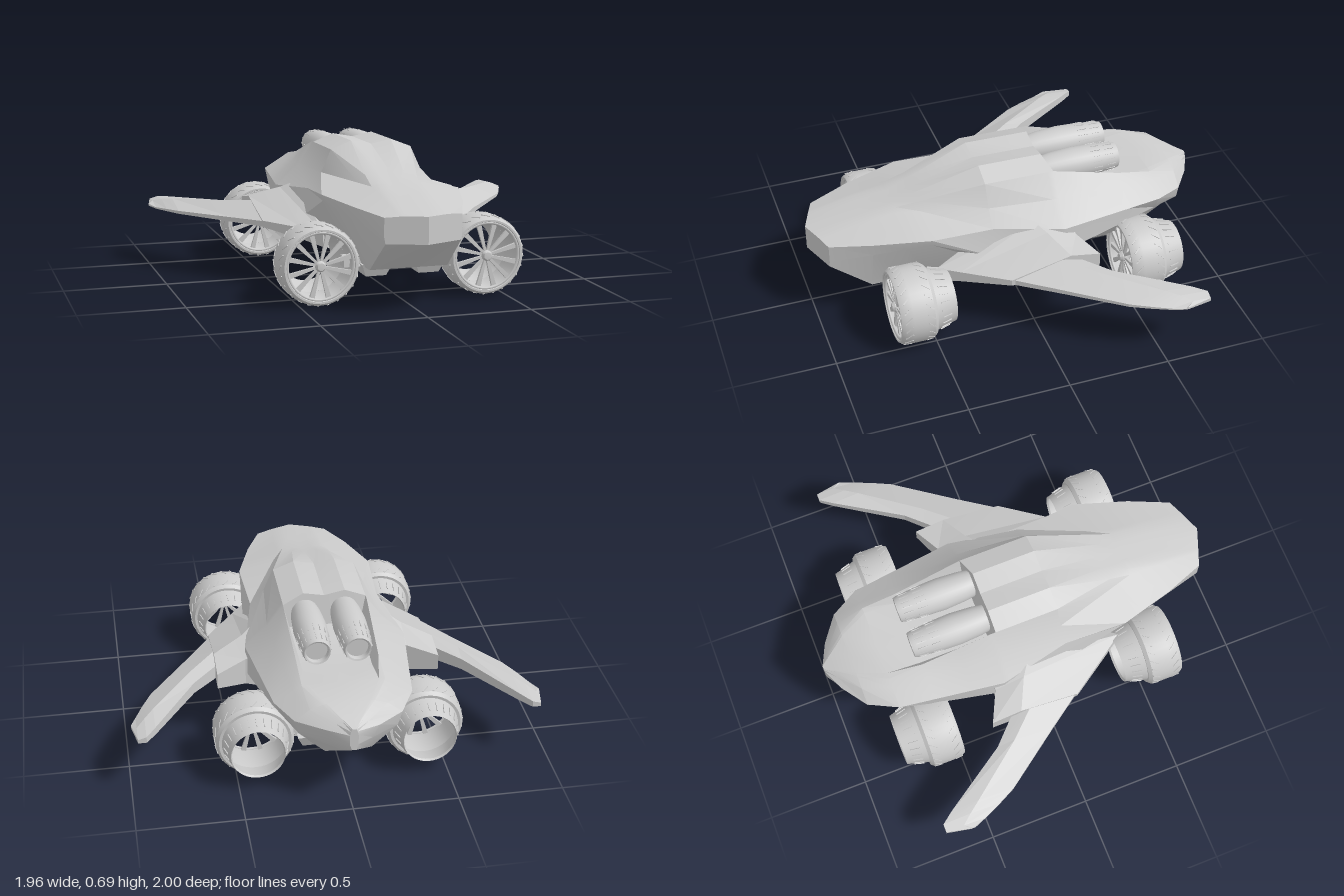
import * as THREE from 'three';
import { toCreasedNormals } from 'three/addons/utils/BufferGeometryUtils.js';

const grey = new THREE.MeshStandardMaterial({ color: 0xcccccc });
const greyOpen = new THREE.MeshStandardMaterial({ color: 0xcccccc, side: THREE.DoubleSide });

function mesh(name, geometry, material = grey) {
  const m = new THREE.Mesh(geometry, material);
  m.name = name;
  return m;
}

// Skin a list of equal-length closed rings of [x, y, z] and cap both ends.
function loft(rings, crease = 0.35) {
  const n = rings[0].length, index = [];
  rings.slice(1).forEach((_, i) => {
    for (let j = 0; j < n; j++) {
      const a = i * n + j, b = i * n + (j + 1) % n;
      index.push(a, a + n, b, b, a + n, b + n);
    }
  });
  const last = (rings.length - 1) * n;
  for (let k = 1; k < n - 1; k++) index.push(0, k, k + 1, last, last + k + 1, last + k);
  const g = new THREE.BufferGeometry();
  g.setAttribute('position', new THREE.Float32BufferAttribute(rings.flat(2), 3));
  g.setIndex(index);
  return toCreasedNormals(g, crease);
}

// Turn a [radius, z] profile around the z axis.
function turned(profile, sides = 40) {
  const g = new THREE.LatheGeometry(profile.map(([r, z]) => new THREE.Vector2(r, z)), sides);
  return toCreasedNormals(g.rotateX(Math.PI / 2), 0.5);
}

// Hull edge lines running from nose to tail, as [z, x, y]
const keel = [[1, .18, .33], [.73, .19, .17], [-.6, .2, .17], [-.86, .11, .24], [-1, .01, .33]];
const flank = [[1, .185, .36], [.73, .25, .4], [.46, .335, .455], [.15, .36, .32],
  [-.2, .4, .3], [-.55, .345, .36], [-.86, .23, .35], [-1, .02, .36]];
const shoulder = [[1, .185, .45], [.46, .342, .485], [.15, .325, .465], [-.2, .395, .43],
  [-.72, .325, .435], [-.86, .25, .42], [-.95, .125, .42], [-1, .02, .41]];
const cabinBase = [[1, .12, .456], [.57, .13, .53], [.15, .255, .54], [-.2, .285, .535],
  [-.72, .235, .49], [-.86, .18, .475], [-1, .015, .43]];
const roofEdge = [[1, .1, .457], [.57, .1, .54], [.15, .205, .65], [-.2, .205, .645],
  [-.55, .195, .545], [-.72, .195, .515], [-.86, .12, .495], [-1, .01, .44]];

// Point [x, y] of an edge line at a given z
function at(line, z) {
  const i = Math.max(1, line.findIndex((p) => p[0] <= z));
  const [z0, x0, y0] = line[i - 1], [z1, x1, y1] = line[i];
  const t = (z - z0) / (z1 - z0);
  return [x0 + (x1 - x0) * t, y0 + (y1 - y0) * t];
}

// Roof between its edges: double bubble over the cabin, sunken thruster bay, flat tail
function roofMiddle([x, y], z) {
  if (z > -.2) {
    const bulge = .04 * THREE.MathUtils.clamp((.57 - z) / .42, 0, 1);
    return [[x / 2, y + bulge], [0, y + bulge / 2]];
  }
  const floor = z > -.6 ? .52 + .08 * (z + .2) : y + .003;
  return [[x * .85, floor], [0, floor]];
}

function hull() {
  const rings = [1, .73, .57, .46, .15, -.17, -.2, -.36, -.55, -.72, -.86, -.95, -1].map((z) => {
    const low = at(keel, z), side = at(flank, z), roof = at(roofEdge, z);
    const chine = low.map((v, k) => v + (side[k] - v) * .15);
    const half = [low, chine, side, at(shoulder, z), at(cabinBase, z), roof, ...roofMiddle(roof, z)]
      .map(([x, y]) => [x, y, z === 1 ? z - .38 * x : z]); // bowed nose
    const mirrored = half.slice(0, -1).reverse().map(([x, y, w]) => [-x, y, w]);
    return [[0, low[1], z], ...half, ...mirrored];
  });
  return mesh('hull', loft(rings));
}

// Wing stations: x, leading z, trailing z, ridge z, ridge y, bottom y
function wingPart(name, rows, s) {
  const rings = rows.map(([x, zf, zb, zr, top, bottom]) => [
    [s * x, bottom, zb], [s * x, bottom, zf],
    [s * x, bottom + (top - bottom) * .3, zf],
    [s * x, top, zr], [s * x, bottom + (top - bottom) * .75, zb],
  ]);
  if (s < 0) rings.reverse();
  return mesh(name, loft(rings, 0.1));
}

const wingRootRows = [
  [.2, .3, -.2, 0, .46, .18],
  [.33, .44, -.25, -.05, .47, .23],
  [.4, .34, -.25, -.1, .435, .25],
  [.545, .13, -.32, -.17, .385, .28],
];
const wingRows = [
  [.52, .15, -.2, -.1, .375, .28],
  [.66, -.05, -.34, -.25, .355, .28],
  [.87, -.34, -.66, -.52, .33, .28],
  [.915, -.43, -.72, -.58, .32, .28],
  [.955, -.52, -.72, -.63, .305, .28],
  [.98, -.58, -.6, -.59, .295, .285],
];

// Wheel with its axle along z; the tyre runs from z = 0 back to z = -0.18
function wheel(name) {
  const g = new THREE.Group();
  g.name = name;
  g.add(mesh('tyre', turned([[.155, -.18], [.172, -.182], [.186, -.165], [.19, -.12], [.19, -.06],
    [.186, -.02], [.174, 0], [.165, 0], [.158, -.015], [.155, -.18]]), greyOpen));
  g.add(mesh('exhaustCone', turned([[.122, -.28], [.128, -.29], [.16, -.175], [.155, -.17], [.122, -.28]]), greyOpen));
  g.add(mesh('hub', turned([[0, -.05], [.022, -.05], [.026, -.012], [.018, .002], [0, .004]], 16), greyOpen));
  g.add(mesh('rimRing', new THREE.TorusGeometry(.158, .008, 6, 40).translate(0, 0, -.012)));

  // Tapered spokes
  const outline = new THREE.Shape([[.015, -.005], [.16, -.012], [.16, .012], [.015, .005]]
    .map(([x, y]) => new THREE.Vector2(x, y)));
  const spoke = new THREE.ExtrudeGeometry(outline, { depth: .014, bevelEnabled: false }).translate(0, 0, -.03);
  for (let i = 0; i < 12; i++) {
    const m = mesh('spoke', spoke);
    m.rotation.z = (i + .5) * Math.PI / 6;
    g.add(m);
  }

  // Slanted tread bars near both tyre edges, short ribs on the cone
  const bar = new THREE.BoxGeometry(.006, .008, .045);
  const rib = new THREE.BoxGeometry(.005, .008, .05);
  const ring = (part, geo, r, z, pitch, yaw) => {
    for (let i = 0; i < 24; i++) {
      const pivot = new THREE.Group();
      pivot.name = part + 'Mount';
      pivot.rotation.z = i * Math.PI / 12;
      const m = mesh(part, geo);
      m.position.set(0, r, z);
      m.rotation.set(pitch, yaw, 0);
      pivot.add(m);
      g.add(pivot);
    }
  };
  ring('treadBar', bar, .186, -.035, .1, .7);
  ring('treadBar', bar, .186, -.145, -.1, -.7);
  ring('coneRib', rib, .145, -.232, -.27, 0);
  return g;
}

// Ribbed thruster lying in the recess behind the cabin
function thruster(x) {
  const g = new THREE.Group();
  g.name = 'roofThruster';
  g.add(mesh('thrusterBarrel', turned([[0, -.34], [.052, -.34], [.054, -.365], [.062, -.368],
    [.067, -.35], [.078, -.22], [.081, -.14], [.074, -.03], [.066, .02], [0, .02]], 28), greyOpen));
  const rib = new THREE.BoxGeometry(.004, .006, .05);
  [[.0695, -.32], [.0755, -.25]].forEach(([r, z]) => {
    for (let i = 0; i < 16; i++) {
      const a = i * Math.PI / 8;
      const m = mesh('thrusterRib', rib);
      m.position.set(-r * Math.sin(a), r * Math.cos(a), z);
      m.rotation.z = a;
      g.add(m);
    }
  });
  g.position.set(x, .588, -.2);
  return g;
}

// Faceted bracket under the hull and the arm reaching to the wheel
function suspension(s, z) {
  const g = new THREE.Group();
  g.name = 'suspension';
  const bracket = mesh('bracket', toCreasedNormals(
    new THREE.CylinderGeometry(.105, .07, .06, 4).rotateY(Math.PI / 4), 0.3));
  bracket.position.set(s * .13, .15, z);
  const arm = mesh('arm', new THREE.BoxGeometry(.16, .05, .06));
  arm.position.set(s * .2, .19, z);
  g.add(bracket, arm);
  return g;
}

export function createModel() {
  const model = new THREE.Group();
  model.name = 'wingedCar';
  model.add(hull());
  for (const s of [1, -1]) {
    const side = s > 0 ? 'left' : 'right';
    model.add(wingPart(side + 'WingRoot', wingRootRows, s));
    model.add(wingPart(side + 'Wing', wingRows, s));
    model.add(thruster(s * .097));
    for (const [end, z] of [['Front', .69], ['Rear', -.485]]) {
      const w = wheel(side + end + 'Wheel');
      w.position.set(s * .408, .19, z);
      model.add(w, suspension(s, z - .1));
    }
  }
  return model;
}
